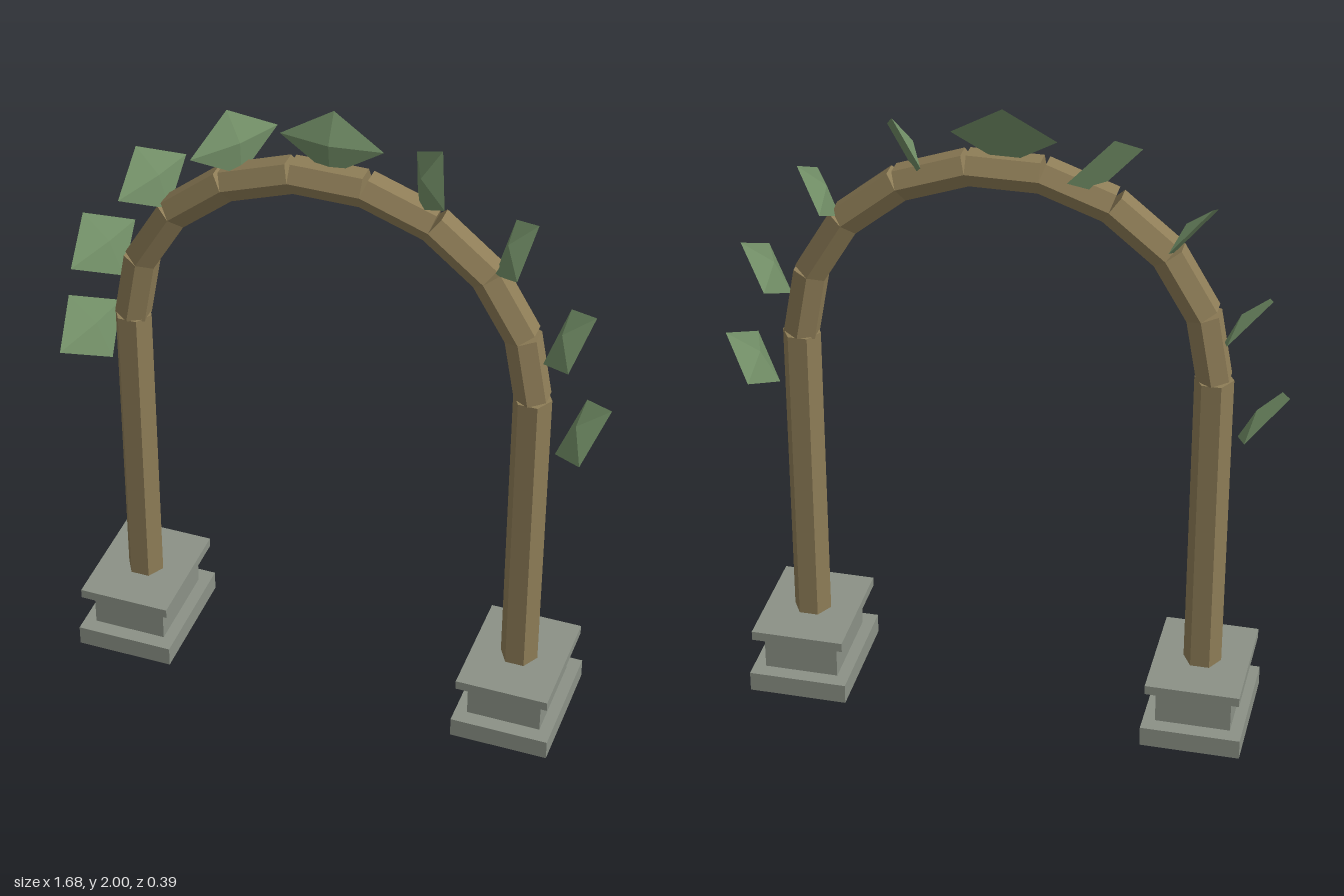
import * as THREE from 'three';

const stone = new THREE.MeshStandardMaterial({ color: 0x8b9186 });
stone.name = 'grey stone';
const wood = new THREE.MeshStandardMaterial({ color: 0x8e7d57 });
wood.name = 'brown wood';
const leafGreen = new THREE.MeshStandardMaterial({ color: 0x6f8b64 });
leafGreen.name = 'leaf green';

const HALF_SPAN = 0.615, SPRING_Y = 1.2, RISE = 0.603, SEGMENTS = 9;

// Faceted normals for the low-poly look
function faceted(geometry) {
  const g = geometry.index ? geometry.toNonIndexed() : geometry;
  g.computeVertexNormals();
  return g;
}

function addMesh(parent, name, geometry, material, x = 0, y = 0, z = 0) {
  const mesh = new THREE.Mesh(geometry, material);
  mesh.name = name;
  mesh.position.set(x, y, z);
  parent.add(mesh);
  return mesh;
}

// Shallow four-sided pyramid on a rhombus, spanned by two half diagonals
function leafGeometry(center, long, wide, side) {
  const v = (a) => new THREE.Vector3(...a);
  const c = v(center), l = v(long), w = v(wide);
  const apex = c.clone().addScaledVector(w.clone().cross(l).normalize(), 0.03);
  const rim = [c.clone().add(w), c.clone().add(l), c.clone().sub(w), c.clone().sub(l)];
  const faces = rim.map((p, i) => [p, rim[(i + 1) % 4], apex]);
  faces.push([rim[0], rim[2], rim[1]], [rim[0], rim[3], rim[2]]);
  const points = [];
  for (const [a, b, d] of faces) {
    // the mirrored side needs the opposite corner order
    for (const p of side > 0 ? [a, b, d] : [a, d, b]) points.push(new THREE.Vector3(p.x * side, p.y, p.z));
  }
  return faceted(new THREE.BufferGeometry().setFromPoints(points));
}

export function createModel() {
  const model = new THREE.Group();
  model.name = 'gardenArch';

  // Stepped pedestals and hexagonal posts
  const steps = [
    ['plinth', 0.305, 0.001, 0.065, 0.39],
    ['pedestalBlock', 0.23, 0.065, 0.185, 0.295],
    ['pedestalCap', 0.287, 0.185, 0.215, 0.368],
  ];
  for (const side of [-1, 1]) {
    const pillar = new THREE.Group();
    pillar.name = side > 0 ? 'leftPillar' : 'rightPillar';
    pillar.position.x = side * HALF_SPAN;
    model.add(pillar);
    for (const [name, w, y0, y1, d] of steps) {
      addMesh(pillar, name, new THREE.BoxGeometry(w, y1 - y0, d), stone, 0, (y0 + y1) / 2);
    }
    const post = new THREE.CylinderGeometry(0.058, 0.058, SPRING_Y, 6).rotateY(Math.PI / 6);
    addMesh(pillar, 'post', faceted(post), wood, 0, SPRING_Y / 2);
  }

  // Arch of straight hexagonal lengths
  const joint = (i) => {
    const a = (Math.PI * i) / SEGMENTS;
    return new THREE.Vector2(HALF_SPAN * Math.cos(a), SPRING_Y + RISE * Math.sin(a));
  };
  const arch = new THREE.Group();
  arch.name = 'arch';
  model.add(arch);
  for (let i = 0; i < SEGMENTS; i++) {
    const a = joint(i), b = joint(i + 1);
    const geometry = faceted(new THREE.CylinderGeometry(0.055, 0.055, a.distanceTo(b), 6));
    const piece = addMesh(arch, 'archSegment', geometry, wood, (a.x + b.x) / 2, (a.y + b.y) / 2);
    piece.rotation.z = Math.atan2(b.y - a.y, b.x - a.x) - Math.PI / 2;
  }

  // Leaves: centre, half length, half width; all but the top one are mirrored
  const leaves = [
    [[0.765, 1.097, -0.016], [0.075, 0.084, -0.018], [0.032, 0, 0.155]],
    [[0.709, 1.406, -0.018], [0.069, 0.084, -0.018], [0.038, 0, 0.15]],
    [[0.543, 1.675, -0.018], [0.056, 0.083, -0.018], [0.045, 0, 0.146]],
    [[0.289, 1.848, -0.018], [0.028, 0.09, -0.018], [0.082, 0, 0.128]],
    [[0, 1.907, -0.02], [0, 0.093, -0.018], [0.153, 0, 0]],
  ];
  const foliage = new THREE.Group();
  foliage.name = 'foliage';
  model.add(foliage);
  for (const [center, long, wide] of leaves) {
    for (const side of center[0] > 0 ? [-1, 1] : [1]) {
      addMesh(foliage, 'leaf', leafGeometry(center, long, wide, side), leafGreen);
    }
  }
  return model;
}
